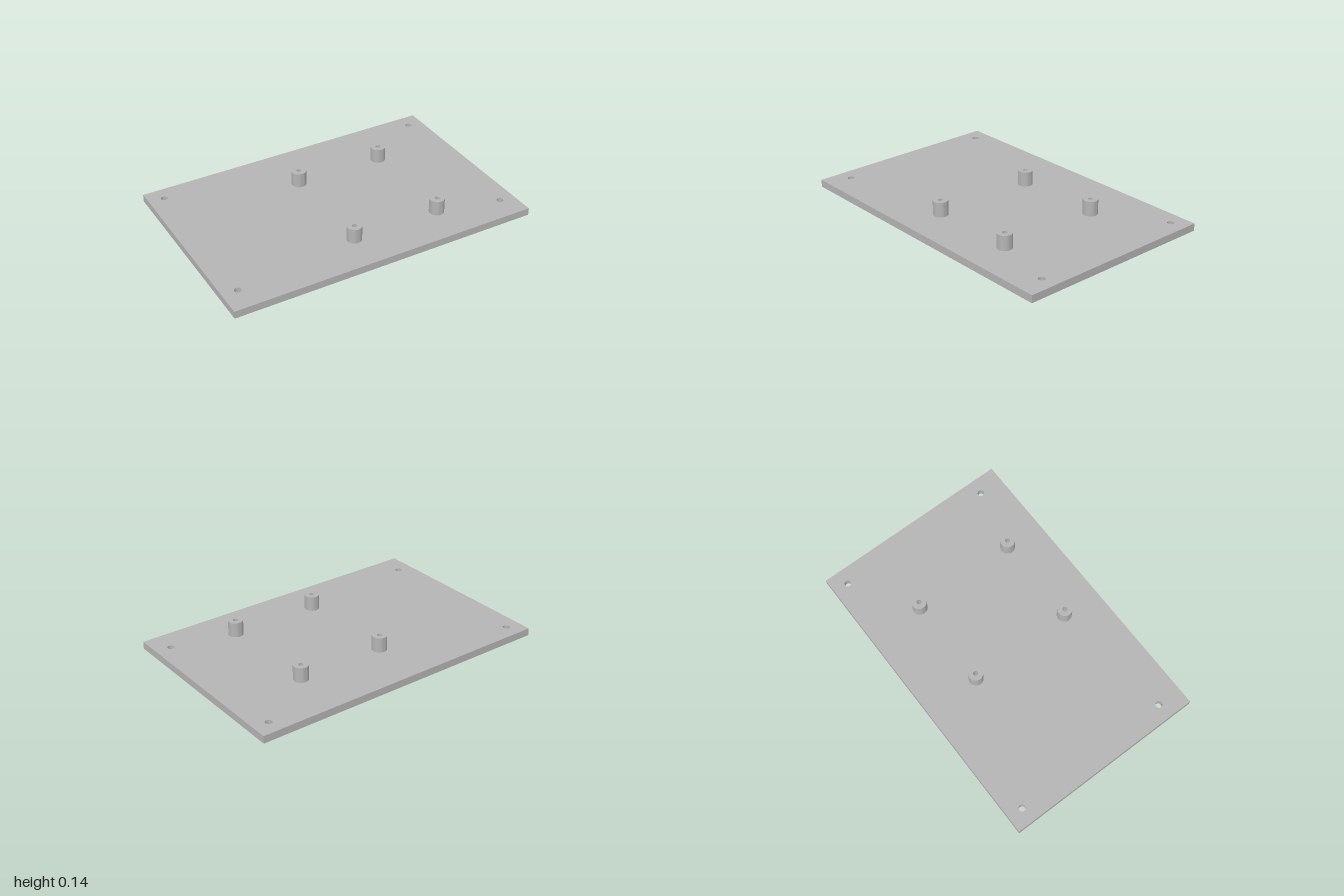
import * as THREE from 'three';
import { toCreasedNormals } from 'three/addons/utils/BufferGeometryUtils.js';

const WIDTH = 2, DEPTH = 1.31, THICKNESS = 0.048;
const POST_HEIGHT = 0.096, POST_RADIUS = 0.047, BORE_RADIUS = 0.015;
const HOLE_RADIUS = 0.021;

const circle = (path, x, z, radius) => path.absarc(x, -z, radius, 0, Math.PI * 2);

// Extrude a ground-plan shape upwards, keeping round walls smooth and edges sharp
function extrudeUp(shape, height) {
  const geometry = new THREE.ExtrudeGeometry(shape, {
    depth: height, bevelEnabled: false, curveSegments: 20,
  });
  geometry.rotateX(-Math.PI / 2);
  return toCreasedNormals(geometry, Math.PI / 5);
}

export function createModel() {
  const model = new THREE.Group();
  model.name = 'mountingPlate';
  const grey = new THREE.MeshStandardMaterial({ color: 0xb4b4b4 });
  grey.name = 'grey';

  // Base plate with four through holes at the corners
  const outline = new THREE.Shape([
    new THREE.Vector2(-WIDTH / 2, -DEPTH / 2),
    new THREE.Vector2(WIDTH / 2, -DEPTH / 2),
    new THREE.Vector2(WIDTH / 2, DEPTH / 2),
    new THREE.Vector2(-WIDTH / 2, DEPTH / 2),
  ]);
  for (const x of [-0.9, 0.9]) {
    for (const z of [-0.556, 0.493]) {
      outline.holes.push(circle(new THREE.Path(), x, z, HOLE_RADIUS));
    }
  }
  const plate = new THREE.Mesh(extrudeUp(outline, THICKNESS), grey);
  plate.name = 'basePlate';
  model.add(plate);

  // Hollow standoff posts, bored down to the plate
  const ring = circle(new THREE.Shape(), 0, 0, POST_RADIUS);
  ring.holes.push(circle(new THREE.Path(), 0, 0, BORE_RADIUS));
  const postGeometry = extrudeUp(ring, POST_HEIGHT);
  for (const [side, x] of [['Right', -0.092], ['Left', 0.491]]) {
    for (const [end, z] of [['back', -0.29], ['front', 0.398]]) {
      const post = new THREE.Mesh(postGeometry, grey);
      post.name = `${end}${side}Standoff`;
      post.position.set(x, THICKNESS, z);
      model.add(post);
    }
  }

  return model;
}
